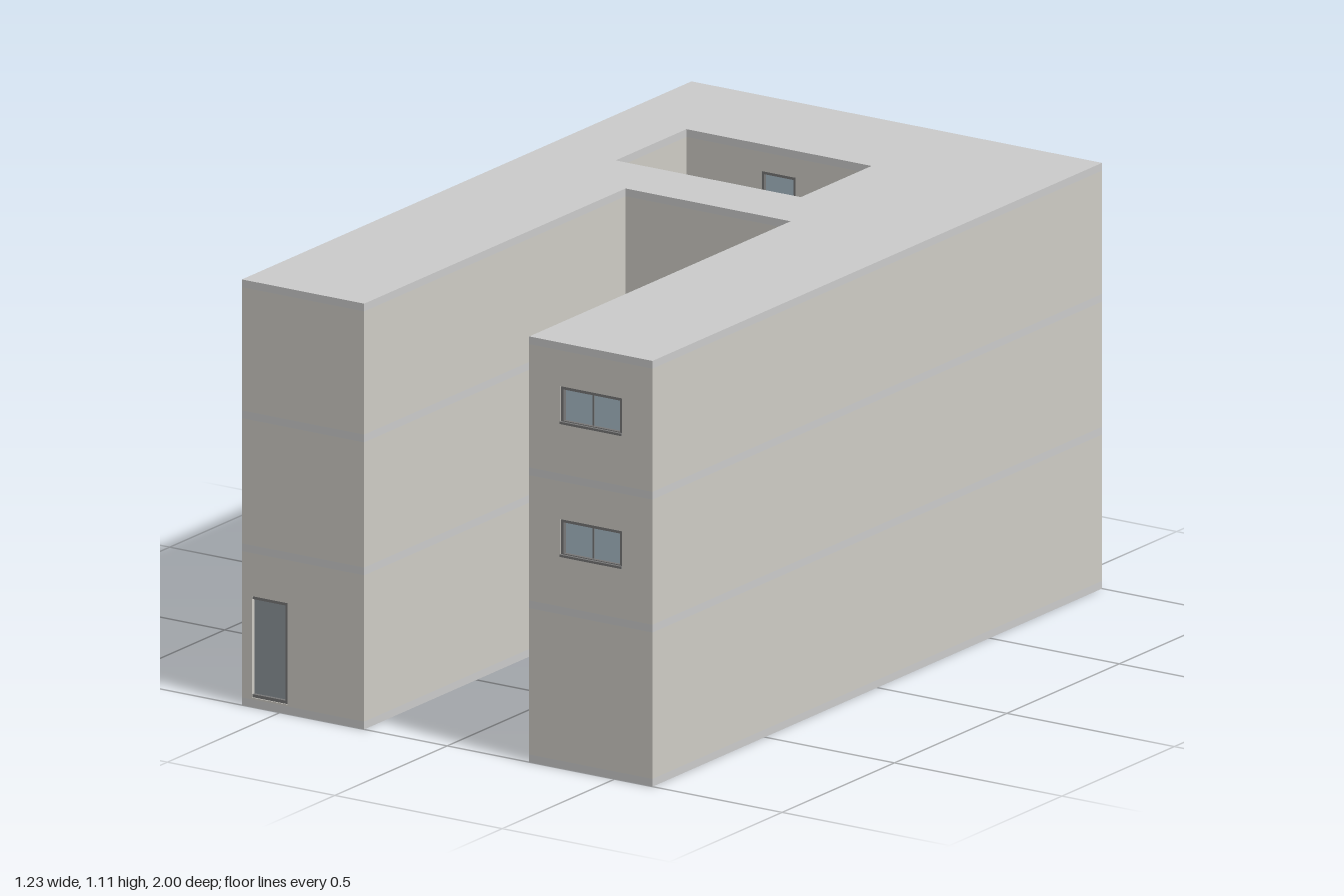
import * as THREE from 'three';

const paint = (color) => new THREE.MeshStandardMaterial({ color });
const wallMat = paint(0xcfcdc6), slabMat = paint(0xc6c6c5);
const frameMat = paint(0x777777), glassMat = paint(0xa9bcc8), doorMat = paint(0x8c949a);

// Plan corners as [x, z]; each run keeps the open air on the same side
const outline = [[-0.613, 1], [-0.248, 1], [-0.248, -0.163], [0.245, -0.163],
  [0.245, 1], [0.613, 1], [0.613, -1], [-0.613, -1]];
const court = [[-0.4, -0.66], [0.153, -0.66], [0.153, -0.345], [-0.4, -0.345]];

const SLAB = 0.02, THICK = 0.03, RECESS = 0.015;
const slabLevels = [0, 0.4, 0.745, 1.085];

// Openings: wall loop and index, x and y range, kind
const openings = [{ loop: outline, wall: 0, x: [-0.595, -0.477], y: [0.025, 0.288], kind: 'door' }];
for (const y of [0.55, 0.895]) {
  openings.push({ loop: outline, wall: 4, x: [0.338, 0.522], y: [y, y + 0.097], kind: 'window' });
}
for (const floor of [0.42, 0.765]) {
  for (const wall of [0, 2]) {
    openings.push({ loop: court, wall, x: [-0.178, -0.074], y: [floor + 0.006, floor + 0.27], kind: 'glassDoor' });
  }
}

function add(parent, geometry, material, name, x = 0, y = 0, z = 0) {
  const mesh = new THREE.Mesh(geometry, material);
  mesh.name = name;
  mesh.position.set(x, y, z);
  parent.add(mesh);
  return mesh;
}

function rectangle(Type, x0, y0, x1, y1) {
  return new Type([[x0, y0], [x1, y0], [x1, y1], [x0, y1]].map(([x, y]) => new THREE.Vector2(x, y)));
}

const extrude = (shape, depth) => new THREE.ExtrudeGeometry(shape, { depth, bevelEnabled: false });

// Floor plate with the courtyard cut out
function slabGeometry() {
  const points = (list) => list.map(([x, z]) => new THREE.Vector2(x, -z));
  const shape = new THREE.Shape(points(outline));
  shape.holes.push(new THREE.Path(points(court)));
  return extrude(shape, SLAB).rotateX(-Math.PI / 2);
}

// Frame, pane, mullion and sill set into a wall opening
function makeOpening(kind, x0, y0, x1, y1) {
  const group = new THREE.Group();
  group.name = kind;
  const w = x1 - x0, h = y1 - y0, cx = (x0 + x1) / 2, cy = (y0 + y1) / 2, rim = 0.008;
  const frame = rectangle(THREE.Shape, x0, y0, x1, y1);
  frame.holes.push(rectangle(THREE.Path, x0 + rim, y0 + rim, x1 - rim, y1 - rim));
  add(group, extrude(frame, 0.012), frameMat, 'frame', 0, 0, -RECESS);
  add(group, new THREE.BoxGeometry(w, h, 0.006), kind === 'door' ? doorMat : glassMat, 'pane', cx, cy, -RECESS);
  if (kind === 'window') {
    add(group, new THREE.BoxGeometry(0.005, h, 0.006), frameMat, 'mullion', cx, cy, -RECESS + 0.003);
  }
  if (kind !== 'door') {
    add(group, new THREE.BoxGeometry(w, 0.006, 0.019), frameMat, 'sill', cx, y0 + 0.003, -0.0055);
  }
  return group;
}

// One storey of wall from a to b, with local +z facing the open air
function makeWall(a, b, y0, y1, list) {
  const group = new THREE.Group();
  group.name = 'wall';
  const dx = b[0] - a[0], dz = b[1] - a[1], length = Math.hypot(dx, dz);
  const shape = rectangle(THREE.Shape, 0, y0, length, y1);
  for (const o of list) {
    const u = o.x.map((x) => Math.abs(x - a[0])).sort((p, q) => p - q);
    shape.holes.push(rectangle(THREE.Path, u[0], o.y[0], u[1], o.y[1]));
    group.add(makeOpening(o.kind, u[0], o.y[0], u[1], o.y[1]));
  }
  add(group, extrude(shape, THICK), wallMat, 'wallPanel', 0, 0, -THICK);
  group.position.set(a[0], 0, a[1]);
  group.rotation.y = Math.atan2(-dz, dx);
  return group;
}

export function createModel() {
  const model = new THREE.Group();
  model.name = 'building';

  const slab = slabGeometry();
  slabLevels.forEach((y, i) => {
    add(model, slab, slabMat, i === slabLevels.length - 1 ? 'roof' : 'floorSlab', 0, y, 0);
  });

  // Three storeys of walls around the outside and the courtyard
  for (let s = 0; s < 3; s++) {
    const y0 = slabLevels[s] + SLAB, y1 = slabLevels[s + 1];
    for (const loop of [outline, court]) {
      loop.forEach((a, i) => {
        const here = openings.filter((o) => o.loop === loop && o.wall === i && o.y[0] > y0 && o.y[1] < y1);
        model.add(makeWall(a, loop[(i + 1) % loop.length], y0, y1, here));
      });
    }
  }
  return model;
}
